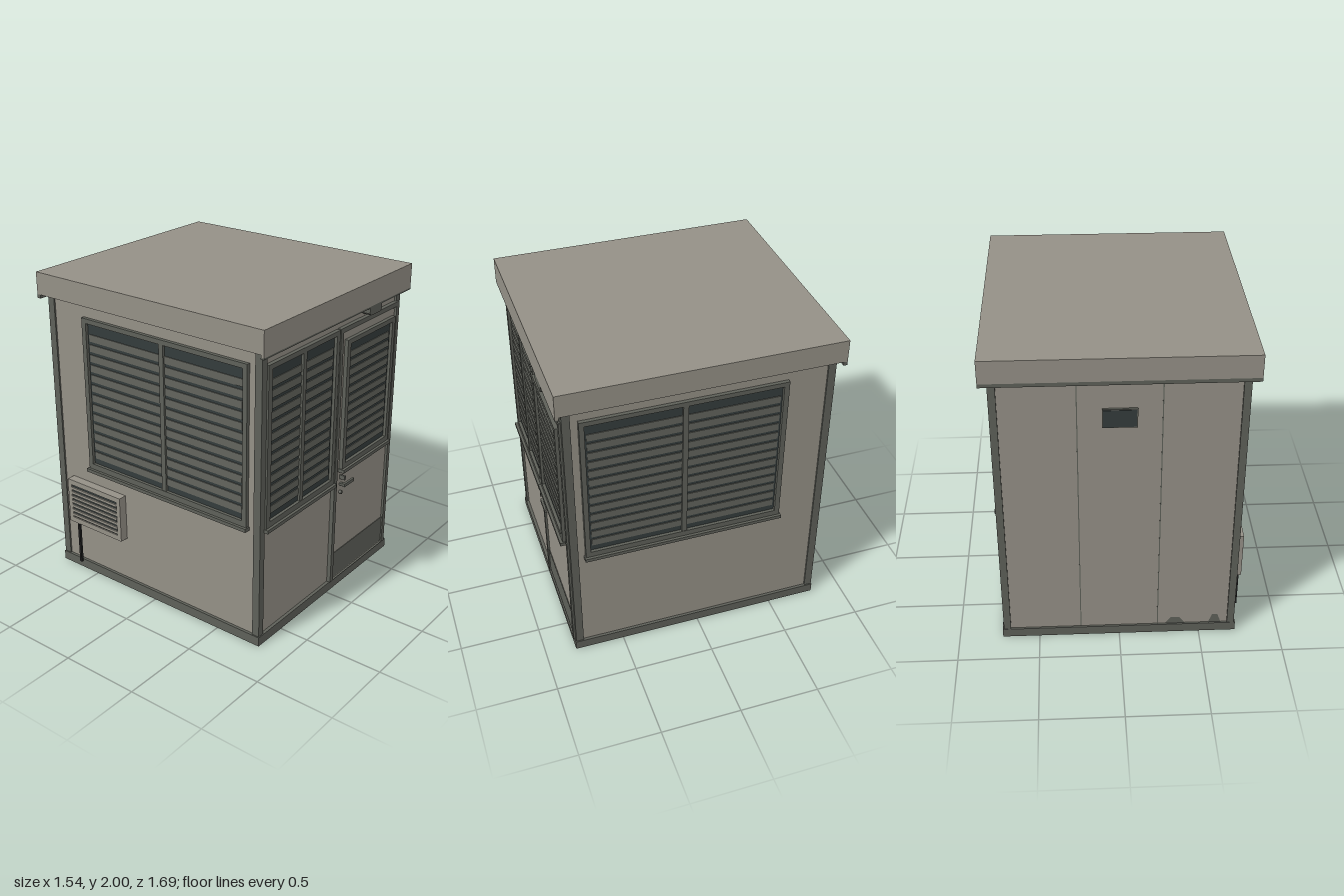
import * as THREE from 'three';

const mat = (name, color) => {
  const m = new THREE.MeshStandardMaterial({ color });
  m.name = name;
  return m;
};

export function createModel() {
  const root = new THREE.Group();
  root.name = 'guardCabin';
  const panel = mat('warmGreyPanel', 0x949086);
  const trim = mat('darkGreyTrim', 0x5e6059);
  const glass = mat('darkGlass', 0x343c3c);
  const slat = mat('blindGrey', 0x62645d);
  const black = mat('blackRubber', 0x1e1f1f);

  // Box given by its minimum and maximum corners
  const box = (parent, name, m, x0, x1, y0, y1, z0, z1) => {
    const mesh = new THREE.Mesh(new THREE.BoxGeometry(x1 - x0, y1 - y0, z1 - z0), m);
    mesh.position.set((x0 + x1) / 2, (y0 + y1) / 2, (z0 + z1) / 2);
    mesh.name = name;
    parent.add(mesh);
    return mesh;
  };
  const group = (name, parent = root) => {
    const g = new THREE.Group();
    g.name = name;
    parent.add(g);
    return g;
  };
  // Rectangular ring facing +z, from an outer and an inner rectangle [x0, x1, y0, y1]
  const ring = (parent, name, m, o, i, z0, z1) => {
    const trace = (p, [x0, x1, y0, y1]) => {
      p.moveTo(x0, y0); p.lineTo(x1, y0); p.lineTo(x1, y1); p.lineTo(x0, y1); p.closePath();
      return p;
    };
    const s = trace(new THREE.Shape(), o);
    s.holes.push(trace(new THREE.Path(), i));
    const mesh = new THREE.Mesh(new THREE.ExtrudeGeometry(s, { depth: z1 - z0, bevelEnabled: false }), m);
    mesh.position.z = z0;
    mesh.name = name;
    parent.add(mesh);
  };

  // Window with blinds, facing +z, wall plane at z = 0
  const blindWindow = (name, o, i, blind, count, mullion) => {
    const g = group(name);
    ring(g, 'windowFrame', trim, o, i, 0, 0.025);
    box(g, 'pane', glass, i[0], i[1], i[2], i[3], 0, 0.006);
    box(g, 'sill', trim, o[0] - 0.008, o[1] + 0.008, o[2] - 0.008, o[2] + 0.014, 0, 0.042);
    const pitch = (blind[1] - blind[0]) / count;
    for (let k = 0; k < count; k++) {
      const y = blind[0] + k * pitch;
      box(g, 'blindSlat', slat, i[0] + 0.012, i[1] - 0.012, y, y + pitch * 0.7, 0.006, 0.011);
    }
    if (mullion !== undefined) box(g, 'mullion', trim, mullion - 0.016, mullion + 0.016, i[2], i[3], 0, 0.022);
    return g;
  };

  // Base, walls and corner posts
  box(root, 'base', trim, -0.73, 0.73, 0, 0.06, -0.805, 0.81);
  box(root, 'walls', panel, -0.712, 0.712, 0.06, 1.87, -0.792, 0.79);
  for (const sx of [-1, 1]) for (const sz of [-1, 1]) {
    const x = sx * 0.7, z = sz * 0.78;
    box(root, 'cornerPost', trim, x - 0.022, x + 0.022, 0.06, 1.87, z - 0.024, z + 0.024);
  }

  // Flat roof with a drip rail at front and back
  box(root, 'roof', panel, -0.77, 0.77, 1.86, 2, -0.844, 0.846);
  box(root, 'frontFascia', panel, -0.77, 0.77, 1.845, 1.86, 0.826, 0.846);
  box(root, 'frontDripRail', trim, -0.77, 0.77, 1.835, 1.845, 0.826, 0.846);
  box(root, 'backDripRail', trim, -0.77, 0.77, 1.837, 1.86, -0.844, -0.82);

  // Front window
  blindWindow('frontWindow', [-0.678, 0.024, 0.76, 1.77], [-0.642, -0.008, 0.81, 1.74],
    [0.848, 1.69], 13, -0.327).position.z = 0.79;

  // Mirrored side windows
  for (const s of [-1, 1]) {
    const off = s > 0 ? [-0.713, 0.517] : [-0.517, 0.713];
    const inn = s > 0 ? [-0.683, 0.485] : [-0.485, 0.683];
    const w = blindWindow(s > 0 ? 'leftWindow' : 'rightWindow', [...off, 0.76, 1.77], [...inn, 0.81, 1.74],
      [0.848, 1.69], 13, -s * 0.1);
    w.rotation.y = s * Math.PI / 2;
    w.position.x = s * 0.71;
  }

  // Door frame
  const door = group('door');
  ring(door, 'doorFrame', trim, [0.032, 0.7, 0.06, 1.772], [0.062, 0.668, 0.064, 1.742], 0.79, 0.816);
  box(door, 'doorGap', trim, 0.062, 0.668, 0.064, 1.742, 0.79, 0.794);

  // Door leaf with rounded corners
  const leaf = new THREE.Shape();
  const [lx0, lx1, ly0, ly1, r] = [0.07, 0.662, 0.066, 1.738, 0.025];
  leaf.moveTo(lx0, ly0);
  leaf.lineTo(lx1, ly0);
  leaf.lineTo(lx1, ly1 - r);
  leaf.quadraticCurveTo(lx1, ly1, lx1 - r, ly1);
  leaf.lineTo(lx0 + r, ly1);
  leaf.quadraticCurveTo(lx0, ly1, lx0, ly1 - r);
  const leafMesh = new THREE.Mesh(
    new THREE.ExtrudeGeometry(leaf, { depth: 0.012, bevelEnabled: false, curveSegments: 5 }), panel);
  leafMesh.position.z = 0.792;
  leafMesh.name = 'doorLeaf';
  door.add(leafMesh);
  box(door, 'kickPlate', trim, 0.064, 0.666, 0.076, 0.255, 0.8, 0.808);
  blindWindow('doorWindow', [0.094, 0.64, 0.835, 1.69], [0.128, 0.608, 0.882, 1.66],
    [0.92, 1.62], 12.6 | 0).position.z = 0.803;

  // Door handle, latch and lock
  box(door, 'handleStem', trim, 0.105, 0.125, 0.728, 0.743, 0.8, 0.84);
  box(door, 'handleLever', trim, 0.105, 0.217, 0.725, 0.746, 0.83, 0.844);
  box(door, 'latch', trim, 0.105, 0.118, 0.773, 0.8, 0.8, 0.842);
  const lock = new THREE.Mesh(new THREE.CylinderGeometry(0.011, 0.011, 0.02, 12), trim);
  lock.rotation.x = Math.PI / 2;
  lock.position.set(0.112, 0.68, 0.812);
  lock.name = 'lock';
  door.add(lock);

  // Lamp above the door, tapering downwards
  const lampShape = new THREE.Shape();
  [[-0.068, 0.05], [-0.068, 0.013], [-0.053, 0], [0.053, 0], [0.068, 0.013], [0.068, 0.05]]
    .forEach(([x, y], k) => (k ? lampShape.lineTo(x, y) : lampShape.moveTo(x, y)));
  const lamp = new THREE.Mesh(new THREE.ExtrudeGeometry(lampShape, { depth: 0.058, bevelEnabled: false }), trim);
  lamp.position.set(0.362, 1.788, 0.788);
  lamp.name = 'doorLamp';
  root.add(lamp);

  // Back wall: panel seams, small vent window and scuff plates
  for (const x of [-0.24, 0.24]) box(root, 'backSeam', trim, x - 0.003, x + 0.003, 0.06, 1.85, -0.7935, -0.79);
  box(root, 'ventFrame', trim, -0.1, 0.1, 1.54, 1.66, -0.806, -0.79);
  box(root, 'ventPane', glass, -0.094, 0.094, 1.546, 1.654, -0.809, -0.805);
  [[-0.35, 0.065, 0.05], [-0.6, 0.04, 0.065]].forEach(([x, w, h]) => {
    const s = new THREE.Shape();
    s.moveTo(-w, 0); s.lineTo(w, 0); s.lineTo(w * 0.4, h); s.lineTo(-w * 0.4, h);
    const m = new THREE.Mesh(new THREE.ShapeGeometry(s), trim);
    m.rotation.y = Math.PI;
    m.position.set(x, 0.06, -0.7945);
    m.name = 'scuffPlate';
    root.add(m);
  });

  // Air conditioner on the right wall, built facing +z and then turned
  const ac = group('airConditioner');
  box(ac, 'housing', panel, -0.225, 0.225, 0.35, 0.655, 0, 0.045);
  ring(ac, 'grilleFrame', panel, [-0.225, 0.225, 0.35, 0.655], [-0.195, 0.195, 0.385, 0.62], 0.045, 0.055);
  box(ac, 'grilleBack', glass, -0.195, 0.195, 0.385, 0.62, 0.045, 0.048);
  for (let k = 0; k < 7; k++) {
    const y = 0.395 + k * 0.032;
    box(ac, 'grilleSlat', panel, -0.195, 0.195, y, y + 0.017, 0.048, 0.057);
  }
  box(ac, 'drainPipe', black, -0.163, -0.147, 0.06, 0.35, 0.036, 0.052);
  ac.rotation.y = -Math.PI / 2;
  ac.position.set(-0.712, 0, -0.465);

  return root;
}
